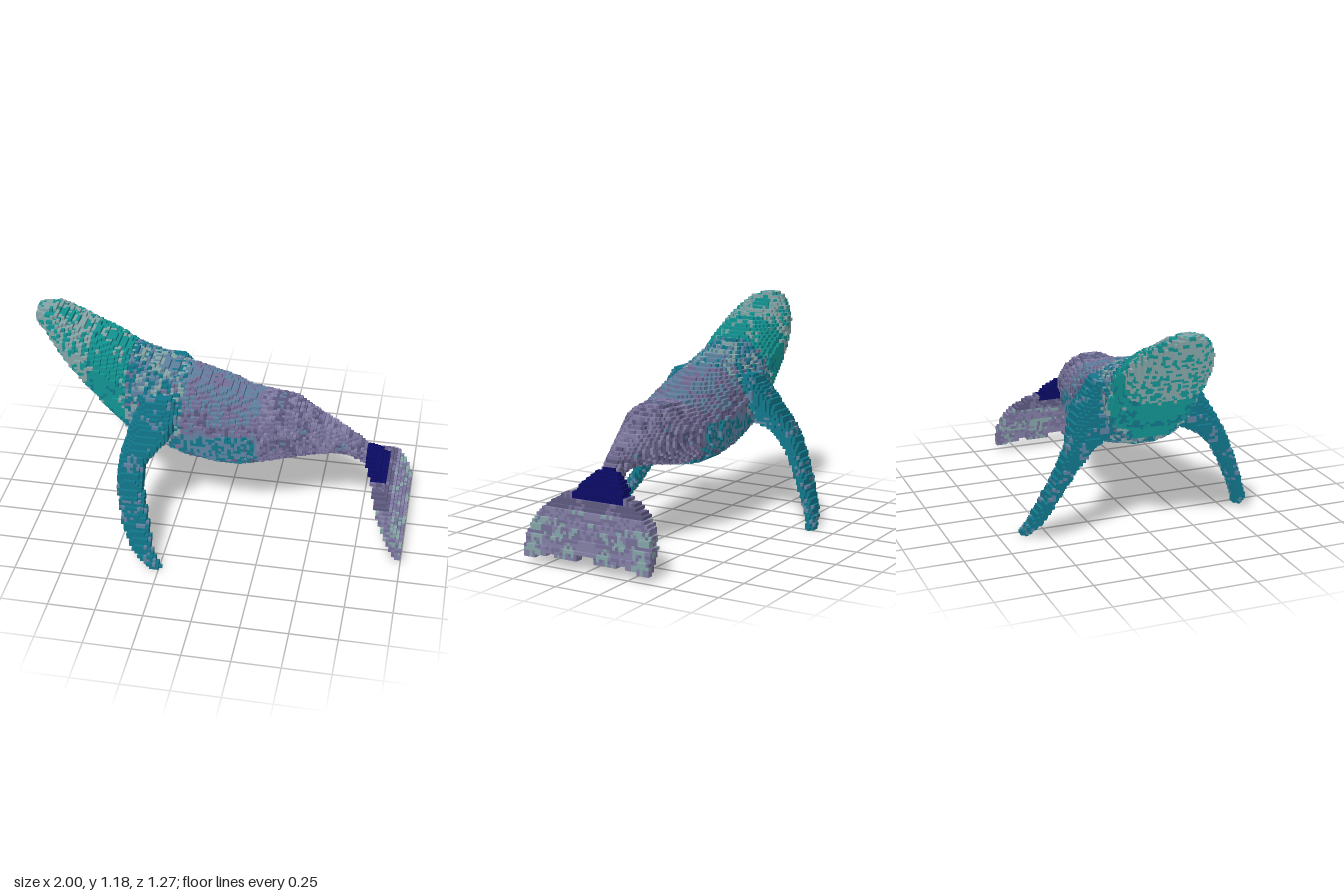
import * as THREE from 'three';

const S = 2 / 120; // voxel size

// Cross-sections along x: [x, top, bottom, half width]
const BODY = [
  [-1, 1.18, 1.10, 0.06], [-0.95, 1.185, 1.06, 0.10], [-0.9, 1.175, 1.01, 0.145], [-0.85, 1.14, 0.95, 0.18],
  [-0.8, 1.115, 0.885, 0.2], [-0.73, 1.08, 0.80, 0.215], [-0.6, 1.03, 0.635, 0.222], [-0.5, 0.97, 0.52, 0.225],
  [-0.42, 0.93, 0.475, 0.245], [-0.3, 0.89, 0.45, 0.25], [-0.2, 0.86, 0.405, 0.25], [-0.05, 0.815, 0.38, 0.248],
  [0.05, 0.785, 0.375, 0.243], [0.12, 0.745, 0.38, 0.235], [0.22, 0.735, 0.40, 0.215], [0.38, 0.73, 0.43, 0.17],
  [0.42, 0.695, 0.44, 0.155], [0.55, 0.63, 0.455, 0.105], [0.65, 0.575, 0.455, 0.075], [0.72, 0.535, 0.425, 0.057],
  [0.78, 0.48, 0.39, 0.055], [0.84, 0.41, 0.34, 0.08],
];
// Flipper sections by height: [y, x back, x front, z inner, z outer]
const FLIPPER = [
  [0, -0.3, -0.235, 0.595, 0.635], [0.05, -0.36, -0.27, 0.57, 0.617], [0.1, -0.405, -0.295, 0.545, 0.597],
  [0.2, -0.455, -0.315, 0.495, 0.55], [0.3, -0.485, -0.345, 0.445, 0.51], [0.4, -0.505, -0.365, 0.385, 0.47],
  [0.5, -0.505, -0.365, 0.29, 0.43], [0.55, -0.49, -0.32, 0.19, 0.41], [0.62, -0.47, -0.25, 0.12, 0.375],
  [0.7, -0.45, -0.22, 0.1, 0.33], [0.75, -0.43, -0.22, 0.1, 0.285], [0.82, -0.42, -0.25, 0.1, 0.25],
];
// Fluke sections by height: [y, x lower side, x upper side, half span]
const FLUKE = [
  [0.04, 0.965, 1.0, 0.36], [0.1, 0.94, 0.99, 0.362], [0.15, 0.915, 0.975, 0.36], [0.2, 0.885, 0.955, 0.35],
  [0.25, 0.865, 0.935, 0.32], [0.3, 0.84, 0.91, 0.275], [0.34, 0.82, 0.885, 0.215], [0.37, 0.8, 0.865, 0.145],
  [0.41, 0.78, 0.84, 0.115], [0.46, 0.765, 0.8, 0.06],
];

// Linear interpolation between the rows of a section list
function section(rows, t) {
  if (t < rows[0][0] || t > rows[rows.length - 1][0]) return null;
  const i = Math.max(1, rows.findIndex((r) => r[0] >= t));
  const a = rows[i - 1], b = rows[i];
  const k = (t - a[0]) / (b[0] - a[0]);
  return a.slice(1).map((v, j) => v + (b[j + 1] - v) * k);
}

function inBody(x, y, z) {
  const s = section(BODY, x);
  if (!s) return false;
  const [top, bottom, half] = s;
  const mid = bottom + (top - bottom) * 0.45;
  const v = y > mid ? (y - mid) / (top - mid) : (mid - y) / (mid - bottom);
  return v ** 2.2 + (z / half) ** 2.2 <= 1.02;
}

function inFlipper(x, y, z) {
  const s = section(FLIPPER, y);
  if (!s) return false;
  const u = (2 * x - s[0] - s[1]) / (s[1] - s[0]);
  const v = (2 * z - s[2] - s[3]) / (s[3] - s[2]);
  return Math.abs(u) ** 3 + Math.abs(v) ** 3 <= 1.05;
}

function inFluke(x, y, z) {
  const s = section(FLUKE, y);
  if (!s || z > s[2]) return false;
  // Scalloped trailing edge with a central notch
  const edge = z < 0.045 ? 0.085 : z > 0.19 && z < 0.235 ? 0.067 : z > 0.3 ? 0.035 : 0.05;
  return y > edge && x >= s[0] - 0.003 && x <= s[1] + 0.003;
}

// Repeatable noise for the mottled skin
function hash(a, b, c) {
  const n = Math.sin(a * 127.1 + b * 311.7 + c * 74.7) * 43758.5453;
  return n - Math.floor(n);
}

const SKIN = {
  teal: 0x129592, pale: 0x86a5a8, deepTeal: 0x11788c, blue: 0x5f83a2,
  violet: 0x767099, slate: 0x5d5a80, lilac: 0x8480a6, navy: 0x0a0a66,
};

function skin(part, x, y, z, i, j, k) {
  const patch = 0.6 * hash(i >> 2, j >> 2, k >> 2) + 0.4 * hash(i, j, k);
  const choose = (list) => list[Math.min(list.length - 1, Math.floor(patch * list.length))];
  if (x > 0.77 && y > 0.34 && z < 0.15) return 'navy';
  if (part === 'flipper') return choose(['blue', 'deepTeal', 'deepTeal', 'deepTeal', 'blue']);
  if (part === 'fluke') {
    return y > 0.28 ? choose(['violet', 'slate', 'slate', 'violet'])
      : choose(['lilac', 'lilac', 'violet', 'pale', 'lilac']);
  }
  if (x < -0.7) return choose(['pale', 'teal', 'pale', 'pale', 'teal', 'pale']);
  if (x < -0.5) return choose(['deepTeal', 'teal', 'teal', 'teal', 'pale']);
  if (x < -0.2) return choose(['deepTeal', 'blue', 'pale', 'deepTeal', 'violet']);
  if (x < 0.2) return y < 0.62 ? choose(['deepTeal', 'blue', 'deepTeal', 'slate']) : choose(['slate', 'violet', 'blue', 'violet']);
  return choose(['slate', 'violet', 'lilac', 'violet', 'slate', 'blue']);
}

// Outward quads for every cell side that has no neighbour
function addFaces(cell, filled, positions, indices) {
  for (let d = 0; d < 3; d++) {
    for (const sign of [1, -1]) {
      const next = cell.slice();
      next[d] += sign;
      if (filled.has(next.join())) continue;
      const start = positions.length / 3;
      for (const [u, v] of [[0, 0], [1, 0], [1, 1], [0, 1]]) {
        const p = cell.slice();
        p[d] += sign > 0 ? 1 : 0;
        p[(d + 1) % 3] += u;
        p[(d + 2) % 3] += v;
        positions.push(p[0] * S, p[1] * S, p[2] * S);
      }
      const order = sign > 0 ? [0, 1, 2, 0, 2, 3] : [0, 2, 1, 0, 3, 2];
      indices.push(...order.map((n) => start + n));
    }
  }
}

export function createModel() {
  const model = new THREE.Group();
  model.name = 'whale';

  // Fill the grid, mirroring across z
  const filled = new Map();
  for (let i = -60; i < 60; i++) {
    for (let j = 0; j < 72; j++) {
      for (let k = 0; k < 39; k++) {
        const x = (i + 0.5) * S, y = (j + 0.5) * S, z = (k + 0.5) * S;
        const part = inBody(x, y, z) ? 'body' : inFlipper(x, y, z) ? 'flipper' : inFluke(x, y, z) ? 'fluke' : null;
        if (!part) continue;
        const color = skin(part, x, y, z, i + 60, j, k);
        for (const kk of [k, -k - 1]) {
          const name = part !== 'flipper' ? part : kk < 0 ? 'flipperBack' : 'flipperFront';
          filled.set([i, j, kk].join(), { cell: [i, j, kk], name, color });
        }
      }
    }
  }

  // Collect the exposed faces by part and colour
  const parts = {};
  for (const { cell, name, color } of filled.values()) {
    const byColor = (parts[name] ??= {});
    const g = (byColor[color] ??= { positions: [], indices: [] });
    addFaces(cell, filled, g.positions, g.indices);
  }

  for (const [name, byColor] of Object.entries(parts)) {
    const group = new THREE.Group();
    group.name = name;
    for (const [color, { positions, indices }] of Object.entries(byColor)) {
      if (!indices.length) continue;
      const geometry = new THREE.BufferGeometry();
      geometry.setAttribute('position', new THREE.Float32BufferAttribute(positions, 3));
      geometry.setIndex(indices);
      geometry.computeVertexNormals();
      const mesh = new THREE.Mesh(geometry, new THREE.MeshStandardMaterial({ color: SKIN[color] }));
      mesh.name = `${name} ${color} skin`;
      group.add(mesh);
    }
    model.add(group);
  }
  return model;
}
